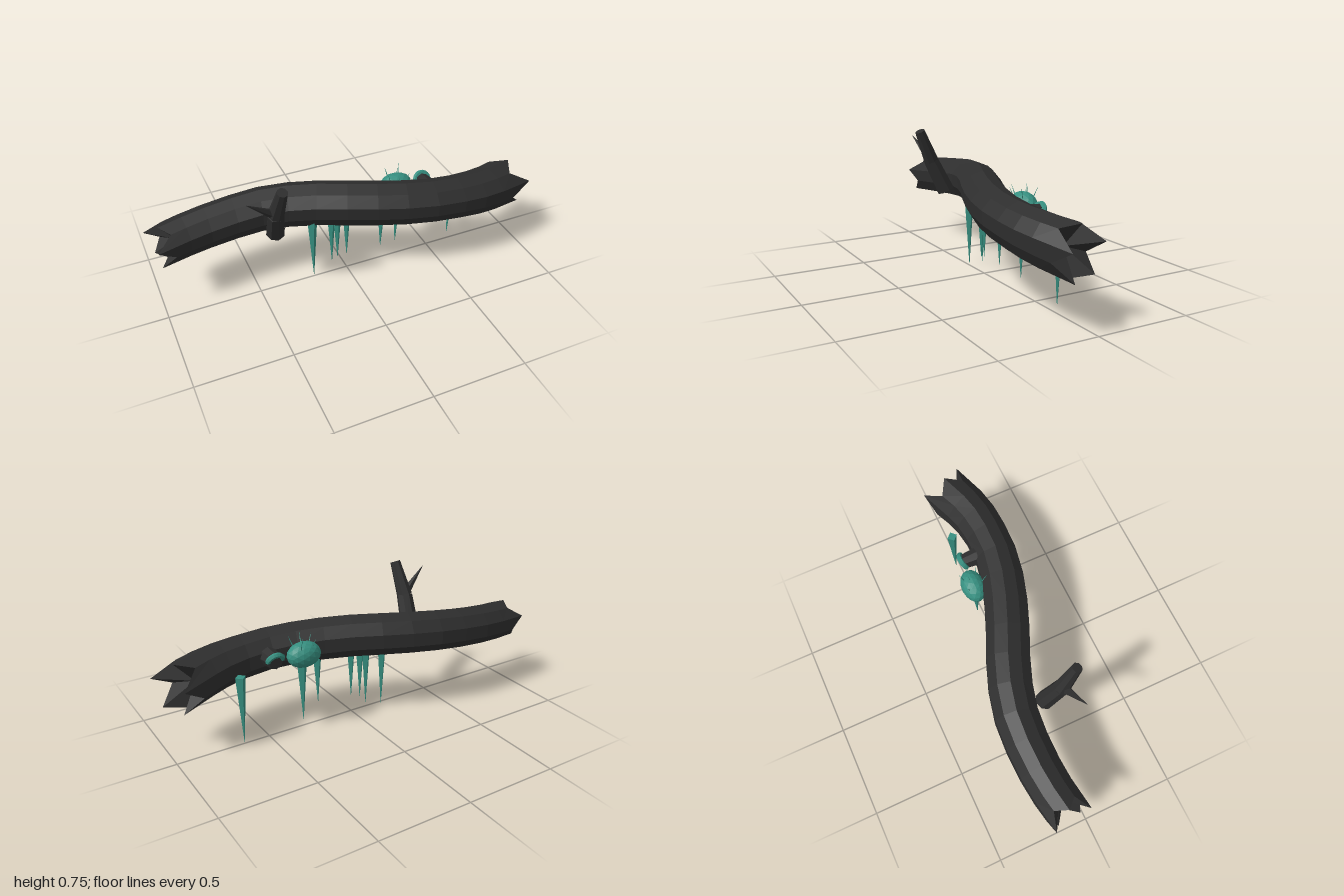
import * as THREE from 'three';

const bark = new THREE.MeshStandardMaterial({ name: 'darkBark', color: 0x2e2e2e, flatShading: true });
const teal = new THREE.MeshStandardMaterial({ name: 'teal', color: 0x368f80, flatShading: true });
const V = (x, y, z) => new THREE.Vector3(x, y, z);

function add(group, name, geometry, material) {
  const mesh = new THREE.Mesh(geometry, material);
  mesh.name = name;
  group.add(mesh);
  return mesh;
}

// Tapered limb running from one point to another
function limb(group, name, from, to, r0, r1, sides, material) {
  const dir = to.clone().sub(from);
  const mesh = add(group, name, new THREE.CylinderGeometry(r1, r0, dir.length(), sides), material);
  mesh.position.copy(from).add(to).multiplyScalar(0.5);
  mesh.quaternion.setFromUnitVectors(V(0, 1, 0), dir.normalize());
  return mesh;
}

// S-shaped log swept from ring cross-sections, with splintered, hollowed ends
function logGeometry() {
  const spine = new THREE.CatmullRomCurve3([
    V(-0.92, 0.385, -0.125), V(-0.8, 0.395, -0.145), V(-0.6, 0.415, -0.155), V(-0.4, 0.435, -0.14),
    V(-0.2, 0.445, -0.08), V(0, 0.447, 0.008), V(0.2, 0.44, 0.085), V(0.4, 0.428, 0.135),
    V(0.6, 0.41, 0.143), V(0.75, 0.393, 0.125), V(0.88, 0.375, 0.085),
  ]);
  const sides = 10, rings = 14;
  const leftTips = [0.04, 0, 0.09, 0, 0.07, 0, 0.06, 0.01, 0.09, 0];
  const rightTips = [0.07, 0, 0.12, 0, 0.1, 0.01, 0.09, 0, 0.11, 0];
  const ridge = [1, 0.95, 1.02, 0.97, 1.03, 1, 0.97, 1.02, 1, 0.97];
  const pos = [], index = [];
  for (let i = 0; i <= rings; i++) {
    const t = i / rings, p = spine.getPoint(t), tan = spine.getTangent(t);
    const side = V(-tan.z, 0, tan.x).normalize();
    const r = 0.108 + 0.009 * Math.sin(Math.PI * t) + (t > 0.75 ? (t - 0.75) * 0.09 : 0);
    for (let j = 0; j < sides; j++) {
      const a = (j / sides) * Math.PI * 2;
      const v = p.clone().addScaledVector(side, Math.sin(a) * r * ridge[j]);
      v.y += Math.cos(a) * r * ridge[j];
      if (i === 0) v.addScaledVector(tan, -leftTips[j]);
      if (i === rings) v.addScaledVector(tan, rightTips[j]);
      pos.push(v.x, v.y, v.z);
    }
  }
  for (let i = 0; i < rings; i++) {
    for (let j = 0; j < sides; j++) {
      const a = i * sides + j, b = i * sides + ((j + 1) % sides);
      index.push(a, b, a + sides, b, b + sides, a + sides);
    }
  }
  // Recessed centres of both ends
  const left = pos.length / 3, right = left + 1, last = rings * sides;
  pos.push(-0.88, 0.387, -0.13, 0.84, 0.375, 0.085);
  for (let j = 0; j < sides; j++) {
    const k = (j + 1) % sides;
    index.push(left, k, j, right, last + j, last + k);
  }
  const g = new THREE.BufferGeometry();
  g.setAttribute('position', new THREE.Float32BufferAttribute(pos, 3));
  g.setIndex(index);
  g.computeVertexNormals();
  return g;
}

export function createModel() {
  const model = new THREE.Group();
  model.name = 'mossyLog';
  add(model, 'log', logGeometry(), bark);

  // Broken branch with a side twig
  const branch = new THREE.Group();
  branch.name = 'branch';
  model.add(branch);
  limb(branch, 'branchBase', V(-0.405, 0.39, 0.025), V(-0.42, 0.56, 0.105), 0.05, 0.043, 8, bark);
  limb(branch, 'branchTop', V(-0.42, 0.56, 0.105), V(-0.405, 0.735, 0.18), 0.043, 0.028, 8, bark);
  limb(branch, 'twig', V(-0.425, 0.565, 0.11), V(-0.575, 0.69, 0.15), 0.026, 0.001, 5, bark);

  // Hanging spikes: x, z, top, bottom, radius
  [
    [-0.19, -0.012, 0.38, 0, 0.028],
    [-0.075, -0.03, 0.36, 0.045, 0.024],
    [-0.05, -0.01, 0.36, 0.08, 0.024],
    [0, 0, 0.36, 0.095, 0.022],
    [0.195, 0.02, 0.36, 0.105, 0.023],
    [0.315, -0.035, 0.39, 0.06, 0.028],
    [0.65, -0.025, 0.39, 0.025, 0.028],
  ].forEach(([x, z, top, bottom, r]) => {
    limb(model, 'hangingSpike', V(x, top, z), V(x, bottom, z), r, 0.001, 4, teal);
  });

  // Moss clump with fine hairs
  const clump = add(model, 'mossClump', new THREE.IcosahedronGeometry(1, 2), teal);
  clump.scale.set(0.093, 0.068, 0.064);
  clump.position.set(0.31, 0.436, -0.048);
  [[-0.04, 0.02], [0.01, -0.01], [0.04, 0.03], [-0.01, 0.045], [0.03, -0.035], [-0.03, -0.03]].forEach(([x, z]) => {
    limb(model, 'mossHair', V(0.31 + x, 0.47, -0.048 + z), V(0.31 + x * 1.5, 0.53, -0.048 + z * 1.6), 0.004, 0.0005, 4, teal);
  });

  // Knot on the back with a mossy rim
  limb(model, 'knot', V(0.465, 0.43, 0.04), V(0.465, 0.432, -0.045), 0.05, 0.04, 8, bark);
  const rim = add(model, 'knotMoss', new THREE.TorusGeometry(0.04, 0.014, 6, 10, Math.PI), teal);
  rim.position.set(0.465, 0.435, -0.035);
  rim.rotation.x = -0.5;
  return model;
}
